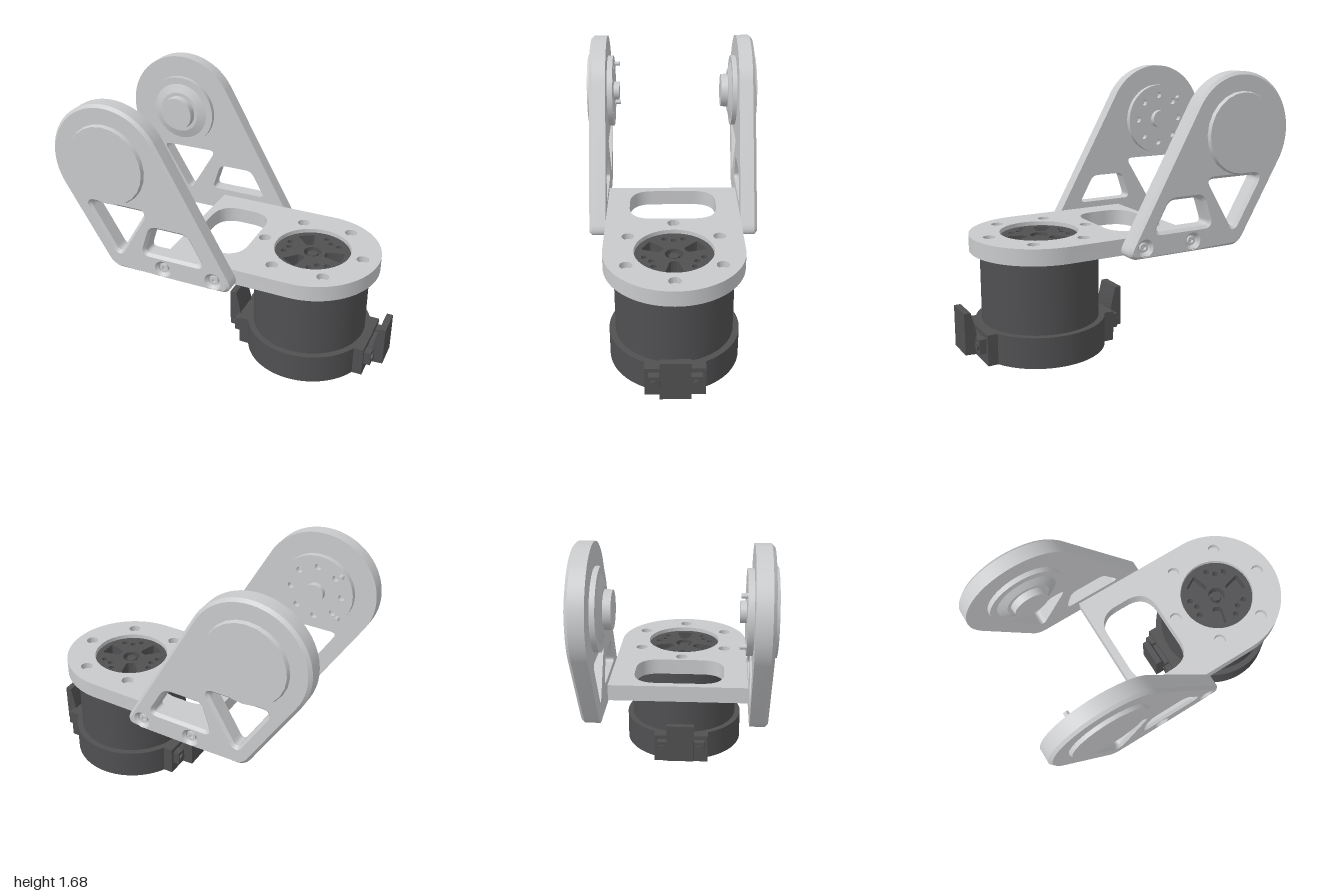
import * as THREE from 'three';
import { toCreasedNormals } from 'three/addons/utils/BufferGeometryUtils.js';

const light = new THREE.MeshStandardMaterial({ color: 0xc9cacc, name: 'light grey' });
const dark = new THREE.MeshStandardMaterial({ color: 0x505052, name: 'dark grey' });

const MX = 0.475;              // motor axis
const PX = -0.635, PY = 1.317; // arm pivot
const HALF = 0.425;            // inner face of each arm

export function createModel() {
  const root = new THREE.Group();
  root.name = 'motorBracket';

  const add = (name, geo, mat, x = 0, y = 0, z = 0) => {
    const m = new THREE.Mesh(geo, mat);
    m.name = name;
    m.position.set(x, y, z);
    root.add(m);
    return m;
  };
  const extrude = (shape, depth, curveSegments = 24) =>
    toCreasedNormals(new THREE.ExtrudeGeometry(shape, { depth, bevelEnabled: false, curveSegments }), 0.5);
  const flatUp = (shape, depth) => extrude(shape, depth).rotateX(-Math.PI / 2);
  const circle = (x, y, r, Kind = THREE.Path) => {
    const p = new Kind();
    p.absarc(x, y, r, 0, Math.PI * 2, false);
    return p;
  };
  // closed polygon with rounded corners
  const rounded = (pts, r, Kind = THREE.Path) => {
    const p = new Kind(), v = pts.map(a => new THREE.Vector2(...a)), n = v.length;
    v.forEach((c, i) => {
      const toward = q => c.clone().add(q.clone().sub(c).setLength(r));
      const a = toward(v[(i + n - 1) % n]), b = toward(v[(i + 1) % n]);
      if (i) p.lineTo(a.x, a.y); else p.moveTo(a.x, a.y);
      p.quadraticCurveTo(c.x, c.y, b.x, b.y);
    });
    p.closePath();
    return p;
  };
  // cylinder along z between two depths
  const rod = (name, x, y, z0, z1, r0, r1 = r0, seg = 40) => {
    const g = new THREE.CylinderGeometry(r1, r0, z1 - z0, seg).rotateX(Math.PI / 2);
    return add(name, g, light, x, y, (z0 + z1) / 2);
  };

  // Side arms: pivot eye tapering down to the foot, chamfered on the outside
  const screws = [-0.295, 0.04];
  const armShape = () => {
    const s = new THREE.Shape();
    s.absarc(PX, PY, 0.368, 0.506, 0.506 + Math.PI, false);
    s.lineTo(-0.685, 0.68);
    s.quadraticCurveTo(-0.65, 0.62, -0.59, 0.62);
    s.lineTo(0.085, 0.62);
    s.quadraticCurveTo(0.17, 0.625, 0.13, 0.70);
    s.holes.push(
      rounded([[-0.79, 1.05], [-0.395, 1.05], [-0.595, 0.72]], 0.05),
      rounded([[-0.42, 0.77], [-0.03, 0.77], [-0.13, 0.95], [-0.36, 0.95]], 0.04),
      ...screws.map(x => circle(x, 0.685, 0.036)));
    return s;
  };
  const BT = 0.018, DEPTH = 0.105 - 2 * BT;
  for (const side of [1, -1]) {
    const label = side > 0 ? 'front' : 'back';
    const g = new THREE.ExtrudeGeometry(armShape(), {
      depth: DEPTH, bevelThickness: BT, bevelSize: BT, bevelOffset: -BT, bevelSegments: 1, curveSegments: 24,
    });
    // square off the bevel on the inner face
    const p = g.attributes.position;
    for (let i = 0; i < p.count; i++) {
      const z = p.getZ(i);
      if (side > 0 && Math.abs(z) < 1e-5) p.setZ(i, -BT);
      if (side < 0 && Math.abs(z - DEPTH) < 1e-5) p.setZ(i, DEPTH + BT);
    }
    g.computeVertexNormals();
    add(label + 'Arm', toCreasedNormals(g, 0.5), light, 0, 0, side > 0 ? HALF + BT : -HALF - BT - DEPTH);

    // Outer cap and recessed foot screws
    const outer = 0.553;
    if (side > 0) rod('frontCap', PX, PY, 0.52, outer, 0.256, 0.245, 24);
    else rod('backCap', PX, PY, -outer, -0.52, 0.245, 0.256, 24);
    for (const x of screws) {
      const ring = circle(0, 0, 0.027, THREE.Shape);
      ring.holes.push(new THREE.Path(Array.from({ length: 6 }, (_, i) =>
        new THREE.Vector2(0.014 * Math.cos(i * Math.PI / 3), 0.014 * Math.sin(i * Math.PI / 3)))));
      add(label + 'ScrewHead', extrude(ring, 0.03), light, x, 0.685, side > 0 ? 0.485 : -0.515);
      rod(label + 'ScrewShank', x, 0.685, side * 0.4625 - 0.035, side * 0.4625 + 0.035, 0.037, 0.037, 20);
    }
  }

  // Front horn plate on the inner face: drilled disc, hub and two pins
  const horn = circle(0, 0, 0.235, THREE.Shape);
  for (let i = 0; i < 8; i++) {
    const a = i * Math.PI / 4;
    horn.holes.push(circle(0.165 * Math.cos(a), 0.165 * Math.sin(a), 0.02));
  }
  add('frontHorn', extrude(horn, 0.037), light, PX, PY, 0.39);
  rod('frontHub', PX, PY, 0.355, 0.4, 0.06);
  for (const dy of [0.14, -0.14]) rod('frontPin', -0.79, PY + dy, 0.355, 0.4, 0.015, 0.015, 12);

  // Back bearing on the inner face: flange, cone and stub
  rod('backFlange', PX, PY, -0.43, -0.395, 0.235);
  rod('backCone', PX, PY, -0.395, -0.375, 0.19, 0.135);
  rod('backStub', PX, PY, -0.38, -0.33, 0.112, 0.108);

  // Deck plate with window, rotor opening and bolt holes
  const deck = new THREE.Shape();
  deck.moveTo(-0.33, -HALF);
  deck.lineTo(MX, -HALF);
  deck.absarc(MX, 0, HALF, -Math.PI / 2, Math.PI / 2, false);
  deck.lineTo(-0.33, HALF);
  deck.closePath();
  deck.holes.push(
    rounded([[-0.28, -0.28], [0.095, -0.28], [0.095, 0.28], [-0.28, 0.28]], 0.15),
    circle(MX, 0, 0.24));
  for (let i = 0; i < 6; i++) {
    const a = i * Math.PI / 3, x = MX + 0.322 * Math.cos(a), z = 0.322 * Math.sin(a);
    deck.holes.push(circle(x, z, 0.038));
    add('deckBolt', new THREE.CylinderGeometry(0.039, 0.039, 0.05, 24), light, x, 0.665, z);
  }
  add('deckPlate', flatUp(deck, 0.1), light, 0, 0.63, 0);

  // Motor body
  add('motorHousing', new THREE.CylinderGeometry(0.362, 0.362, 0.45, 48), dark, MX, 0.406, 0);

  // Rotor with three windows and a ring of small holes
  const rotor = circle(0, 0, 0.237, THREE.Shape);
  for (let k = 0; k < 3; k++) {
    const t = k * Math.PI * 2 / 3;
    const at = (r, a) => [r * Math.cos(t + a), r * Math.sin(t + a)];
    rotor.holes.push(rounded([at(0.085, -0.3), at(0.205, -0.27), at(0.205, 0.27), at(0.085, 0.3)], 0.018));
    for (const a of [0.72, 1.047, 1.37]) rotor.holes.push(circle(...at(a === 1.047 ? 0.155 : 0.18, a), 0.018));
  }
  rotor.holes.push(circle(0, 0, 0.055));
  add('rotor', flatUp(rotor, 0.075), dark, MX, 0.63, 0);
  add('rotorShaft', new THREE.CylinderGeometry(0.035, 0.035, 0.07, 6), dark, MX, 0.66, 0);

  // Base collar with the two flat latch mounts
  const base = new THREE.Shape();
  const a0 = Math.asin(0.18 / 0.4);
  base.moveTo(0.42, -0.18);
  base.lineTo(0.42, 0.18);
  base.absarc(0, 0, 0.4, a0, Math.PI - a0, false);
  base.lineTo(-0.42, 0.18);
  base.lineTo(-0.42, -0.18);
  base.absarc(0, 0, 0.4, Math.PI + a0, Math.PI * 2 - a0, false);
  base.closePath();
  for (let i = 0; i < 4; i++) {
    const a = Math.PI / 4 + i * Math.PI / 2;
    base.holes.push(circle(0.28 * Math.cos(a), 0.28 * Math.sin(a), 0.014));
  }
  add('baseCollar', flatUp(base, 0.19), dark, MX, 0.003, 0);

  // Spring latches on both sides
  const lever = new THREE.Shape([[0.485, 0.315], [0.455, 0.19], [0.455, 0.155], [0.475, 0.13], [0.455, 0.055],
    [0.525, 0.06], [0.525, 0.315]].map(a => new THREE.Vector2(...a)));
  for (const turn of [0, Math.PI]) {
    const latch = new THREE.Group();
    latch.name = turn ? 'rightLatch' : 'leftLatch';
    const part = (name, geo, x, y, z) => {
      const m = add(name, geo, dark, x, y, z);
      latch.add(m);
    };
    part('latchLever', extrude(lever, 0.18), 0, 0, -0.09);
    part('latchArm', new THREE.BoxGeometry(0.08, 0.08, 0.16), 0.44, 0.12, 0);
    for (const z of [0.125, -0.125]) {
      part('latchLug', new THREE.BoxGeometry(0.05, 0.09, 0.065), 0.437, 0.12, z);
      part('latchScrew', new THREE.CylinderGeometry(0.023, 0.023, 0.012, 16).rotateZ(Math.PI / 2), 0.466, 0.12, z);
    }
    latch.position.x = MX;
    latch.rotation.y = turn;
    root.add(latch);
  }
  return root;
}
